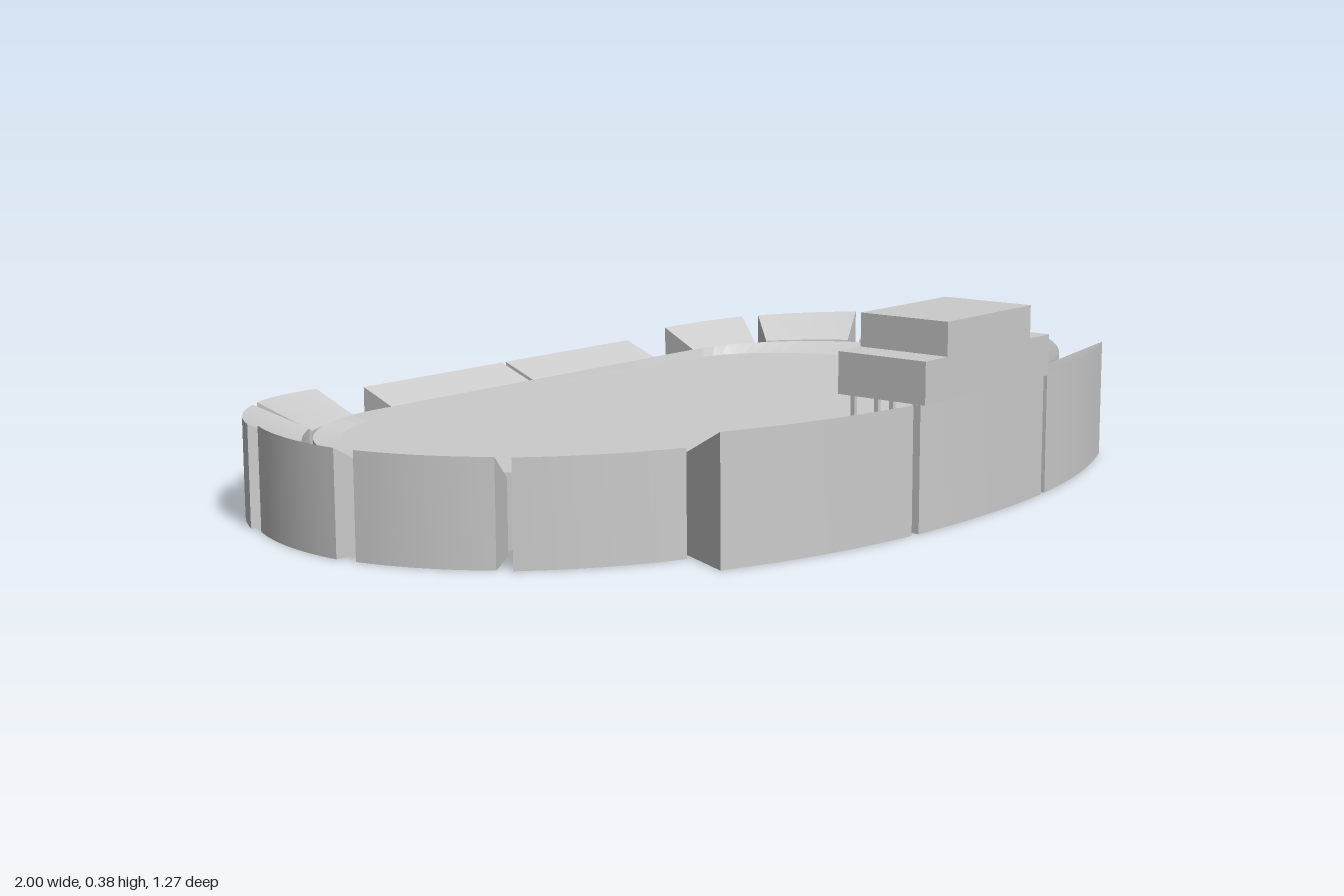
import * as THREE from 'three';
import { toCreasedNormals } from 'three/addons/utils/BufferGeometryUtils.js';

const material = new THREE.MeshStandardMaterial({ color: 0xcccccc, side: THREE.DoubleSide });

function meshFromQuads(quads, name, crease = 0.4) {
  const pos = [];
  for (const [a, b, c, d] of quads) pos.push(...a, ...b, ...c, ...a, ...c, ...d);
  const g = new THREE.BufferGeometry();
  g.setAttribute('position', new THREE.Float32BufferAttribute(pos, 3));
  const mesh = new THREE.Mesh(toCreasedNormals(g, crease), material);
  mesh.name = name;
  return mesh;
}

// Points on a shallow arc from a to b, bulging away from the field
function arc(a, b, radius, n) {
  const dx = b[0] - a[0], dz = b[1] - a[1], chord = Math.hypot(dx, dz);
  const sag = radius ? chord * chord / (8 * radius) : 0;
  return Array.from({ length: n + 1 }, (_, i) => {
    const t = i / n, k = 4 * t * (1 - t) * sag / chord;
    return [a[0] + dx * t + dz * k, a[1] + dz * t - dx * k];
  });
}

// Open-bottomed stand block: outer wall, sloped seating, inner wall and two ends
function stand(name, { o, i, h, low, r }) {
  const n = r ? 10 : 1;
  const outer = arc(o[0], o[1], r, n), inner = arc(i[0], i[1], r, n);
  const sections = outer.map(([x, z], k) => {
    const top = h[0] + (h[1] - h[0]) * k / n, [u, w] = inner[k];
    return [[x, 0, z], [x, top, z], [u, low, w], [u, 0, w]];
  });
  const quads = [];
  for (let k = 0; k < n; k++)
    for (let j = 0; j < 3; j++)
      quads.push([sections[k][j], sections[k][j + 1], sections[k + 1][j + 1], sections[k + 1][j]]);
  quads.push([...sections[0]].reverse(), sections[n]);
  return meshFromQuads(quads, name);
}

const flip = ([x, z]) => [-x, z];
const mirror = s => ({
  ...s,
  o: [flip(s.o[1]), flip(s.o[0])],
  i: [flip(s.i[1]), flip(s.i[0])],
  h: [s.h[1], s.h[0]],
});

// Field outline: elliptical front and rounded back corners joined by a straight
function outline(rx, front, back, y) {
  const pts = [], cz = -0.12, n = 48;
  for (let k = 0; k <= n; k++) {
    const t = Math.PI * k / n;
    pts.push([rx * Math.cos(t), y, cz + (front - cz) * Math.sin(t)]);
  }
  for (const s of [-1, 1])
    for (let k = 0; k <= 16; k++) {
      const t = Math.PI / 2 * (s < 0 ? k : 16 - k) / 16;
      pts.push([s * (0.5 + (rx - 0.5) * Math.cos(t)), y, cz + (back - cz) * Math.sin(t)]);
    }
  return pts;
}

function box(name, w, h, d, x, y, z) {
  const m = new THREE.Mesh(new THREE.BoxGeometry(w, h, d), material);
  m.name = name;
  m.position.set(x, y, z);
  return m;
}

export function createModel() {
  const model = new THREE.Group();
  model.name = 'stadium';

  // Field: shallow dished surface with a wall down to the ground
  const rim = outline(0.867, 0.41, -0.505, 0.14);
  const foot = rim.map(([x, , z]) => [x, 0, z]);
  const flat = outline(0.77, 0.31, -0.498, 0.12);
  const wallQuads = [], fieldQuads = [];
  rim.forEach((p, k) => {
    const q = (k + 1) % rim.length;
    wallQuads.push([foot[k], p, rim[q], foot[q]]);
    fieldQuads.push([p, flat[k], flat[q], rim[q]]);
    fieldQuads.push([flat[k], [0, 0.12, -0.1], [0, 0.12, -0.1], flat[q]]);
  });
  // Centre fan quads collapse to one triangle each
  const fan = fieldQuads.map(([a, b, c, d]) => (b === c || (b[0] === 0 && b[2] === -0.1)) ? [a, b, d, d] : [a, b, c, d]);
  model.add(meshFromQuads(wallQuads, 'fieldWall'), meshFromQuads(fan, 'field', 0.05));

  // Stands on the left half, from the back straight round to the front
  const half = {
    backStand: { o: [[0.006, -0.635], [0.413, -0.635]], i: [[0.006, -0.53], [0.413, -0.53]], h: [0.16, 0.16], low: 0.12, r: 0 },
    backCornerStand: { o: [[0.545, -0.63], [0.755, -0.56]], i: [[0.535, -0.53], [0.695, -0.47]], h: [0.175, 0.185], low: 0.13, r: 0.5 },
    backBendStand: { o: [[0.785, -0.535], [0.945, -0.355]], i: [[0.715, -0.455], [0.85, -0.31]], h: [0.187, 0.195], low: 0.14, r: 0.5 },
    sideStand: { o: [[0.95, -0.32], [0.999, -0.06]], i: [[0.862, -0.285], [0.9, -0.05]], h: [0.197, 0.197], low: 0.14, r: 0.5 },
    frontBendStand: { o: [[0.99, -0.02], [0.88, 0.21]], i: [[0.885, -0.035], [0.795, 0.155]], h: [0.197, 0.197], low: 0.14, r: 0.6 },
    frontCornerStand: { o: [[0.865, 0.235], [0.615, 0.41]], i: [[0.78, 0.165], [0.58, 0.32]], h: [0.197, 0.197], low: 0.14, r: 0.8 },
    frontStand: { o: [[0.64, 0.505], [0.23, 0.617]], i: [[0.565, 0.325], [0.215, 0.433]], h: [0.24, 0.24], low: 0.15, r: 1.5 },
  };
  for (const [name, s] of Object.entries(half)) {
    model.add(stand(name + 'Left', s), stand(name + 'Right', mirror(s)));
  }
  model.add(stand('centreStand', {
    o: [[0.212, 0.62], [-0.212, 0.62]], i: [[0.21, 0.435], [-0.21, 0.435]], h: [0.24, 0.24], low: 0.15, r: 2.2,
  }));

  // Two-step cabin over the centre stand, carried on rows of posts
  const cabin = new THREE.Group();
  cabin.name = 'cabin';
  cabin.add(box('cabinLower', 0.424, 0.08, 0.193, 0, 0.278, 0.5335));
  cabin.add(box('cabinUpper', 0.284, 0.064, 0.193, 0, 0.35, 0.5335));
  for (const x of [-0.19, -0.065, 0.065, 0.19])
    for (const [z, y0] of [[0.457, 0.16], [0.51, 0.185]])
      cabin.add(box('cabinPost', 0.009, 0.24 - y0, 0.009, x, (0.24 + y0) / 2, z));
  model.add(cabin);
  return model;
}
